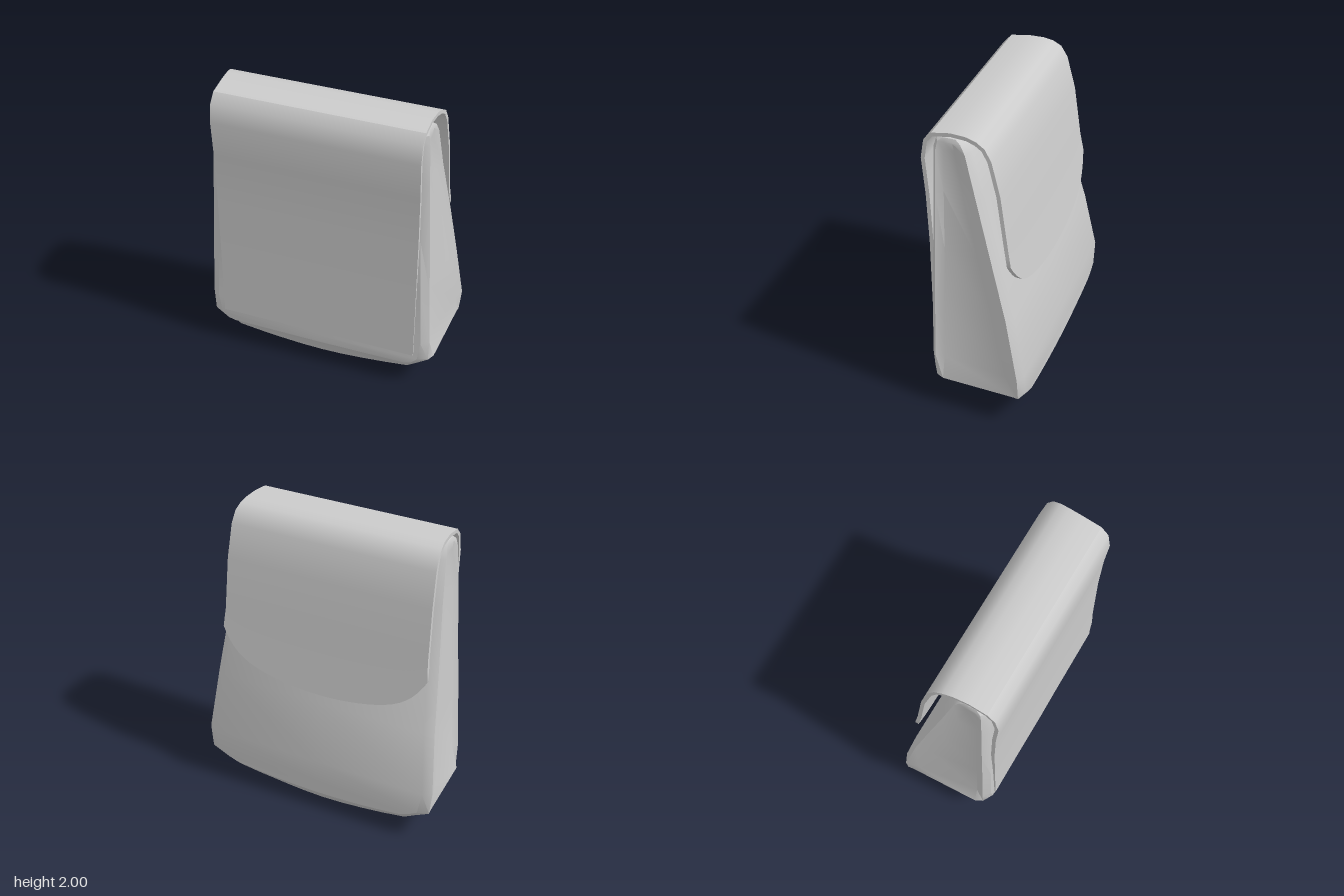
import * as THREE from 'three';
import { toCreasedNormals } from 'three/addons/utils/BufferGeometryUtils.js';

// Skin closed rings of points, row after row
function loft(rings, crease) {
  const n = rings[0].length, pos = [];
  for (let i = 0; i < rings.length - 1; i++) {
    for (let j = 0; j < n; j++) {
      const k = (j + 1) % n;
      const a = rings[i][j], b = rings[i + 1][j], c = rings[i + 1][k], d = rings[i][k];
      pos.push(...a, ...b, ...c, ...a, ...c, ...d);
    }
  }
  const geo = new THREE.BufferGeometry();
  geo.setAttribute('position', new THREE.Float32BufferAttribute(pos, 3));
  return toCreasedNormals(geo, crease);
}

// Half a ring from front centre, round the rim and gusset, to back centre
function sideSection(y, xf, xb, zf, zb, zD, zE, recess) {
  return [
    [0, y, zf], [xf - 0.05, y, zf], [xf, y, zf * 0.6 + zD * 0.4], [xf - recess, y, zD],
    [xb - recess, y, zE], [xb, y, zb * 0.75 + zE * 0.25], [xb - 0.06, y, zb], [0, y, zb],
  ];
}

// Half a ring through the bowed underside at distance x from the middle
function baseSection(x, yFront, yD, yE, yBack) {
  return [
    [0, yFront, 0.3], [x, yFront, 0.295], [x, (yFront + yD) / 2 + 0.02, 0.255], [x, yD, 0.205],
    [x, yE, -0.24], [x, (yE + yBack) / 2, -0.295], [x, yBack, -0.34], [0, yBack, -0.34],
  ];
}

function bodyGeometry() {
  const halves = [
    sideSection(1.97, 0.66, 0.66, 0.165, 0.155, 0.16, 0.16, 0),
    sideSection(1.965, 0.675, 0.675, 0.215, 0.11, 0.18, 0.145, 0),
    sideSection(1.94, 0.685, 0.685, 0.255, 0.07, 0.19, 0.135, 0),
    sideSection(1.88, 0.695, 0.695, 0.27, 0.03, 0.195, 0.13, 0.02),
    sideSection(1.6, 0.71, 0.715, 0.275, -0.045, 0.2, 0.075, 0.025),
    sideSection(1.2, 0.73, 0.755, 0.285, -0.155, 0.2, -0.02, 0.025),
    sideSection(0.8, 0.75, 0.79, 0.295, -0.26, 0.205, -0.12, 0.025),
    sideSection(0.38, 0.77, 0.83, 0.3, -0.34, 0.208, -0.225, 0.02),
    // lower corner, where the gusset meets the base
    [[0, 0.235, 0.3], [0.7, 0.235, 0.3], [0.765, 0.22, 0.26], [0.79, 0.22, 0.21],
      [0.81, 0.22, -0.28], [0.815, 0.22, -0.315], [0.74, 0.22, -0.34], [0, 0.22, -0.34]],
    [[0, 0.19, 0.3], [0.655, 0.19, 0.298], [0.69, 0.165, 0.257], [0.7, 0.14, 0.207],
      [0.71, 0.135, -0.255], [0.71, 0.16, -0.305], [0.68, 0.185, -0.34], [0, 0.185, -0.34]],
    baseSection(0.61, 0.175, 0.07, 0.06, 0.16),
    baseSection(0.45, 0.175, 0.05, 0.035, 0.142),
    baseSection(0.3, 0.175, 0.035, 0.018, 0.13),
    baseSection(0.15, 0.175, 0.024, 0.005, 0.123),
    baseSection(0, 0.175, 0.02, 0, 0.12),
  ];
  const rings = halves.map((h) => [
    ...h,
    ...h.slice(1, -1).reverse().map(([x, y, z]) => [-x, y, z]),
  ]);
  return loft(rings, 0.6);
}

function flapGeometry() {
  // Centre line of the strip as (z, y): up the front, over the top, down the back
  const line = [
    [0.298, 0.27], [0.297, 0.6], [0.298, 1.2], [0.31, 1.55], [0.33, 1.8], [0.31, 1.92],
    [0.265, 1.97], [0.15, 1.988], [0.05, 1.985], [-0.01, 1.97], [-0.06, 1.94], [-0.1, 1.87],
    [-0.155, 1.65], [-0.202, 1.3], [-0.239, 1.09], [-0.275, 0.88],
  ].map(([z, y]) => new THREE.Vector2(z, y));
  const last = line.length - 1, start = line[last - 2], across = 32, half = 0.0125;

  const ring = (i, thickness) => {
    const t = line[Math.min(i + 1, last)].clone().sub(line[Math.max(i - 1, 0)]).normalize();
    const width = 0.675 + Math.max(0, 0.1 - line[i].x) * 0.14;
    const point = (u, side) => {
      const p = line[i].clone();
      // the free end is cut to a rounded tongue
      if (i > last - 2) p.lerpVectors(start, line[i], 1 - 0.35 * u ** 2 - 0.35 * u ** 8);
      const o = side * thickness;
      return [u * width, p.y - t.x * o, p.x + t.y * o];
    };
    const us = Array.from({ length: across + 1 }, (_, k) => Math.cos((k / across) * Math.PI));
    return [...us.map((u) => point(u, 1)), ...us.reverse().map((u) => point(u, -1))];
  };
  const rings = line.map((_, i) => ring(i, half));
  return loft([ring(0, 0), ...rings, ring(last, 0)], 0.6);
}

export function createModel() {
  const group = new THREE.Group();
  group.name = 'pouch';
  const material = new THREE.MeshStandardMaterial({ color: 0xcccccc, side: THREE.DoubleSide });
  const add = (name, geometry) => {
    const mesh = new THREE.Mesh(geometry, material);
    mesh.name = name;
    group.add(mesh);
  };
  add('body', bodyGeometry());
  add('flap', flapGeometry());
  return group;
}
